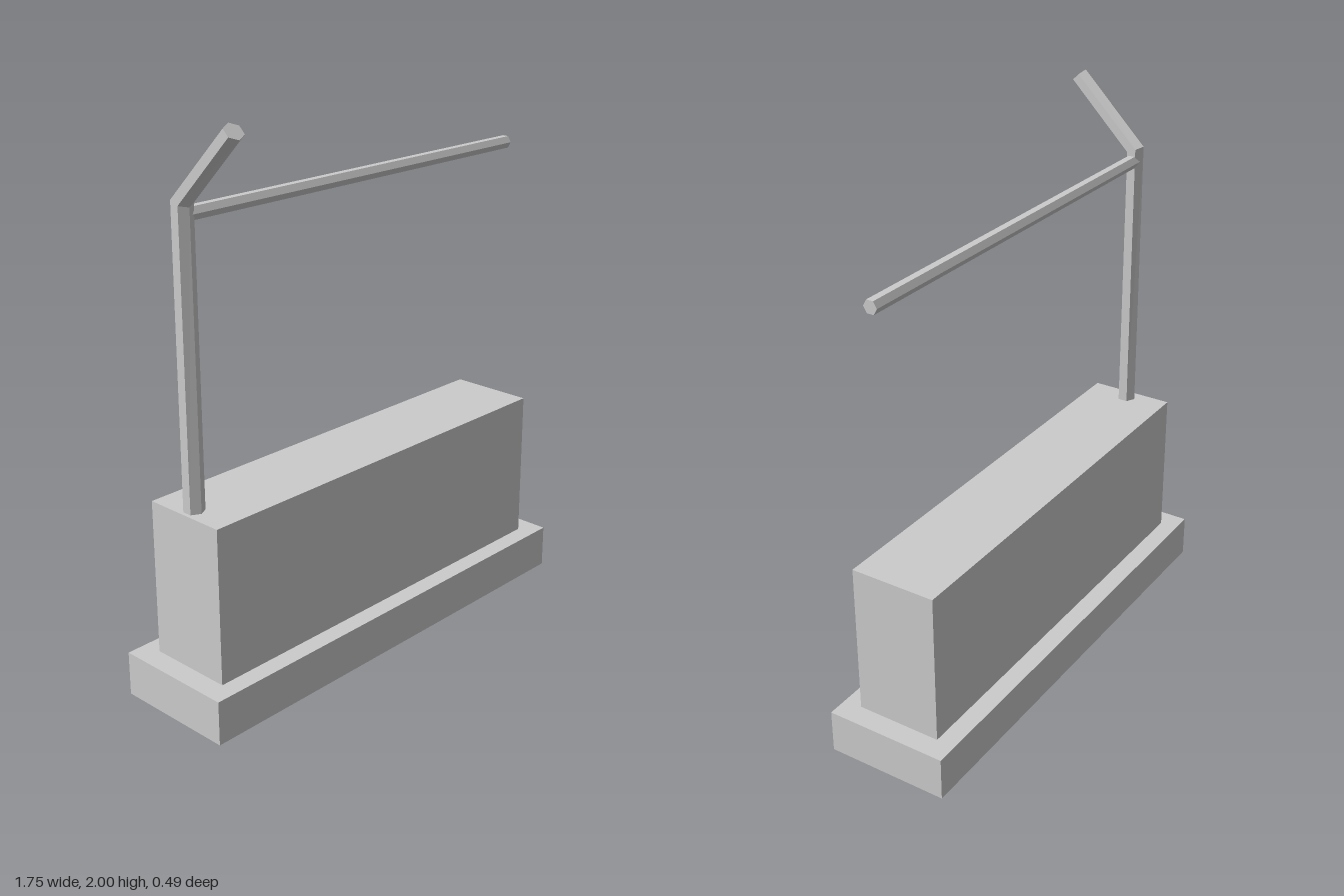
import * as THREE from 'three';

const grey = new THREE.MeshStandardMaterial({ color: 0xcccccc, flatShading: true });

function addMesh(group, name, geometry, x = 0, y = 0, z = 0) {
  const mesh = new THREE.Mesh(geometry, grey);
  mesh.name = name;
  mesh.position.set(x, y, z);
  group.add(mesh);
  return mesh;
}

// Six-sided bar swept through rings; each ring has a centre (y, z) and a
// vector (dy, dz) to its front corner, so rings can be tilted for the mitre.
function hexBar(rings, halfWidth) {
  const points = rings.map(({ y, z, dy, dz }) =>
    Array.from({ length: 6 }, (_, i) => {
      const a = (i * Math.PI) / 3;
      const c = Math.cos(a);
      const s = Math.sin(a) / Math.sin(Math.PI / 3);
      return new THREE.Vector3(halfWidth * s, y + dy * c, z + dz * c);
    }));
  const pos = [];
  const tri = (...corners) => corners.forEach((p) => pos.push(p.x, p.y, p.z));
  for (let r = 0; r < points.length - 1; r++) {
    for (let i = 0; i < 6; i++) {
      const j = (i + 1) % 6;
      const [a, b, c, d] = [points[r][i], points[r][j], points[r + 1][j], points[r + 1][i]];
      tri(a, b, c);
      tri(a, c, d);
    }
  }
  // End caps
  const first = points[0];
  const last = points[points.length - 1];
  for (let i = 1; i < 5; i++) {
    tri(first[0], first[i + 1], first[i]);
    tri(last[0], last[i], last[i + 1]);
  }
  const geometry = new THREE.BufferGeometry();
  geometry.setAttribute('position', new THREE.Float32BufferAttribute(pos, 3));
  geometry.computeVertexNormals();
  return geometry;
}

export function createModel() {
  const group = new THREE.Group();

  // Stepped plinth and main block
  addMesh(group, 'base', new THREE.BoxGeometry(1.75, 0.16, 0.454), 0, 0.08, -0.018);
  addMesh(group, 'body', new THREE.BoxGeometry(1.594, 0.56, 0.317), 0, 0.44, -0.017);

  // Upright post, mitred into an arm leaning forward at 45 degrees
  addMesh(group, 'bentPost', hexBar([
    { y: 0.72, z: -0.017, dy: 0, dz: 0.035 },
    { y: 1.738, z: -0.016, dy: -0.014, dz: 0.033 },
    { y: 1.977, z: 0.2225, dy: -0.0226, dz: 0.0226 },
  ], 0.032), -0.751);

  // Long thin horizontal bar, flat faces up and down
  const bar = addMesh(group, 'crossbar', new THREE.CylinderGeometry(0.025, 0.025, 1.585, 6), 0.0425, 1.697, -0.018);
  bar.rotation.z = Math.PI / 2;

  return group;
}
